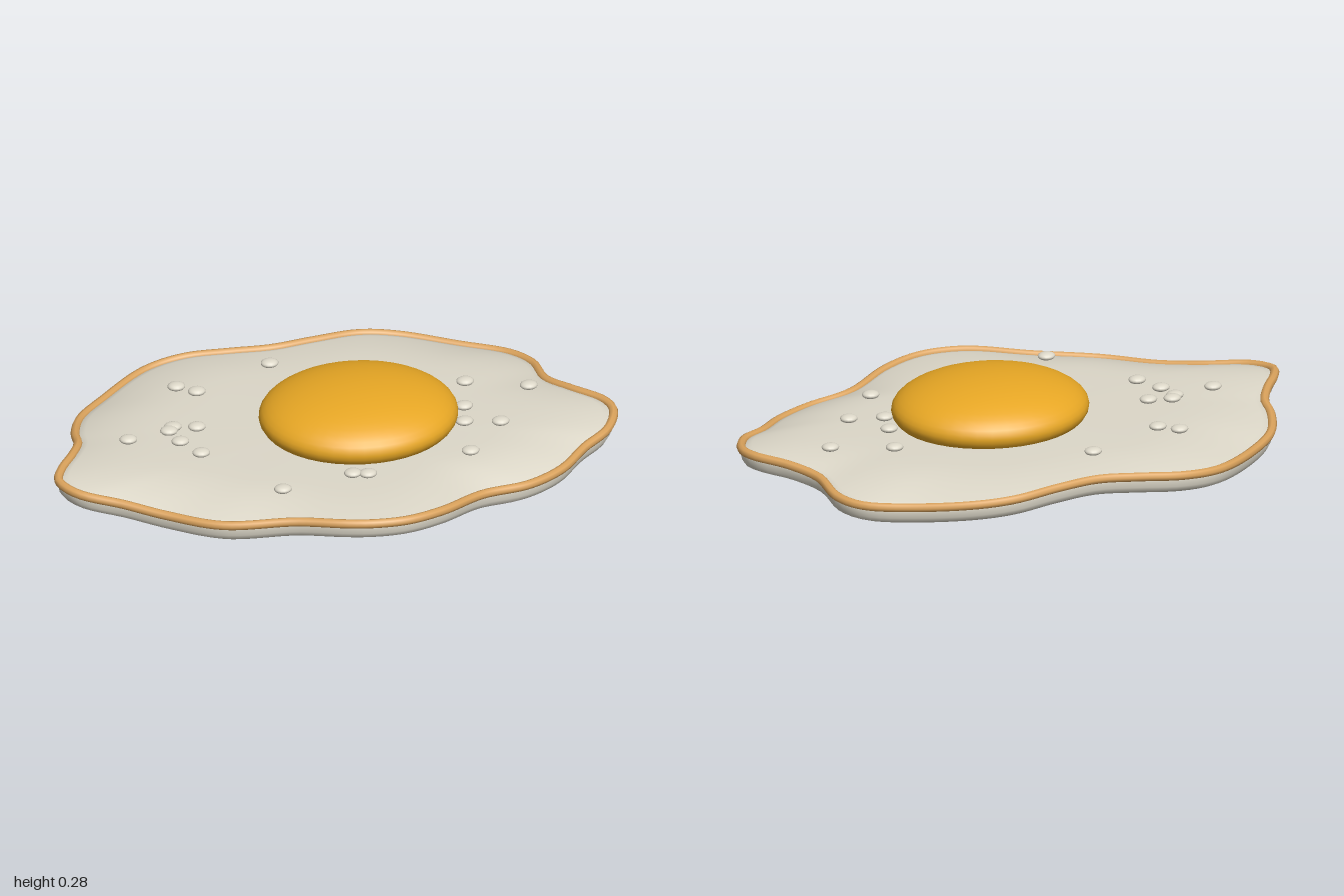
import * as THREE from 'three';

// Outline of the egg white as x, z pairs
const OUTLINE = [
  -0.985, 0.10, -0.96, 0.03, -0.90, -0.06, -0.855, -0.15, -0.845, -0.23, -0.795, -0.36, -0.69, -0.475,
  -0.50, -0.625, -0.355, -0.66, -0.20, -0.64, -0.055, -0.62, 0.10, -0.64, 0.27, -0.665, 0.40, -0.64,
  0.59, -0.55, 0.75, -0.455, 0.805, -0.36, 0.815, -0.21, 0.88, -0.10, 0.965, 0.01, 0.98, 0.08,
  0.93, 0.19, 0.83, 0.27, 0.725, 0.375, 0.59, 0.45, 0.415, 0.495, 0.245, 0.605, 0.11, 0.655,
  -0.005, 0.655, -0.10, 0.63, -0.26, 0.555, -0.50, 0.48, -0.67, 0.36, -0.80, 0.27, -0.94, 0.185,
];

// Bubble positions as x, z pairs
const BUBBLES = [
  -0.10, -0.46, -0.45, -0.38, -0.39, -0.33, -0.70, -0.06, -0.53, -0.11, -0.55, -0.085,
  -0.45, -0.09, -0.53, -0.005, -0.48, 0.09, -0.01, 0.355, 0.04, 0.37, -0.27, 0.405,
  0.42, 0.30, 0.45, 0.095, 0.475, -0.01, 0.57, 0.125, 0.52, -0.175, 0.725, -0.095,
];

const STEPS = 144;

// Gentle wave of the edge: high at the ends, low at the corners
const rimY = (x, z) => 0.09 + 0.02 * Math.cos(4 * Math.atan2(z / 0.66, x / 0.98));

function rimCurve() {
  const pts = [];
  for (let i = 0; i < OUTLINE.length; i += 2) {
    const x = OUTLINE[i], z = OUTLINE[i + 1];
    pts.push(new THREE.Vector3(x, rimY(x, z), z));
  }
  return new THREE.CatmullRomCurve3(pts, true);
}

// Rings from the top centre, over the edge, to the bottom centre
function whiteGeometry(curve) {
  const rings = [];
  for (const s of [0.001, 0.2, 0.4, 0.55, 0.65, 0.72, 0.78, 0.83, 0.88, 0.92, 0.96, 1]) {
    const t = Math.max(0, (s - 0.6) / 0.4) ** 2.3;
    rings.push([s, (r) => THREE.MathUtils.lerp(0.135 - 0.008 * s, r, t)]);
  }
  for (const [s, drop] of [[1.002, 0.02], [0.998, 0.04], [0.988, 0.056], [0.965, 0.065], [0.92, 0.068], [0.85, 0.066]]) {
    rings.push([s, (r) => r - drop]);
  }
  for (const [s, y, wave] of [[0.7, 0.036, 0.6], [0.5, 0.054, 0.25], [0.35, 0.066, 0.08], [0.2, 0.073, 0], [0.08, 0.07, 0], [0.001, 0.055, 0]]) {
    rings.push([s, (r) => y + (r - 0.09) * wave]);
  }
  const edge = curve.getSpacedPoints(STEPS).slice(0, STEPS);
  const pos = [], index = [];
  rings.forEach(([s, height], j) => {
    edge.forEach((p, i) => {
      pos.push(p.x * s, height(p.y), p.z * s);
      if (j === rings.length - 1) return;
      const n = (i + 1) % STEPS;
      const a = j * STEPS + i, b = j * STEPS + n, c = a + STEPS, d = b + STEPS;
      index.push(a, b, c, b, d, c);
    });
  });
  const geo = new THREE.BufferGeometry();
  geo.setAttribute('position', new THREE.Float32BufferAttribute(pos, 3));
  geo.setIndex(index);
  geo.computeVertexNormals();
  return geo;
}

export function createModel() {
  const group = new THREE.Group();
  group.name = 'friedEgg';
  const material = (name, color) => {
    const m = new THREE.MeshStandardMaterial({ color });
    m.name = name;
    return m;
  };
  const white = material('eggWhite', 0xdcd7c8);
  const yellow = material('yolkYellow', 0xf9b428);
  const brown = material('crispBrown', 0xdba35c);

  const add = (name, geo, mat, parent = group) => {
    const mesh = new THREE.Mesh(geo, mat);
    mesh.name = name;
    parent.add(mesh);
    return mesh;
  };

  // Egg white and its crisp edge
  const curve = rimCurve();
  add('eggWhite', whiteGeometry(curve), white);
  add('crispEdge', new THREE.TubeGeometry(curve, 180, 0.016, 8, true), brown);

  // Yolk
  const yolk = add('yolk', new THREE.SphereGeometry(1, 40, 24), yellow);
  yolk.scale.set(0.345, 0.115, 0.308);
  yolk.position.set(0.1, 0.17, -0.005);

  // Bubbles
  const bubbles = new THREE.Group();
  bubbles.name = 'bubbles';
  group.add(bubbles);
  const bubbleGeo = new THREE.SphereGeometry(1, 16, 10);
  for (let i = 0; i < BUBBLES.length; i += 2) {
    const bubble = add('bubble', bubbleGeo, white, bubbles);
    bubble.scale.set(0.031, 0.014, 0.027);
    bubble.position.set(BUBBLES[i], 0.147, BUBBLES[i + 1]);
  }
  return group;
}
